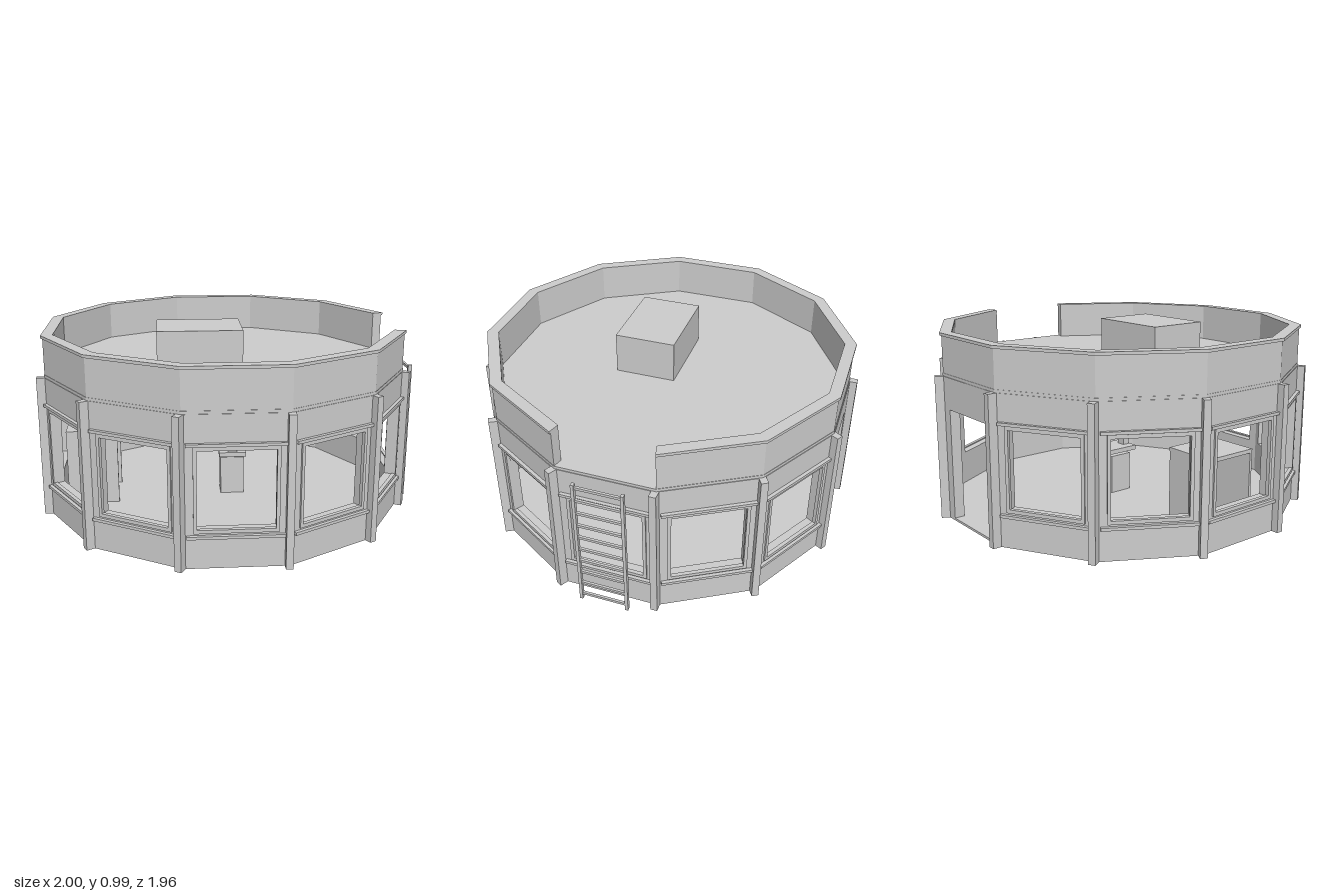
import * as THREE from 'three';

const SIDES = 12, STEP = Math.PI / 6;
const halfSide = (apothem) => apothem * Math.tan(STEP / 2);

export function createModel() {
  const model = new THREE.Group();
  model.name = 'lookoutCabin';
  const grey = new THREE.MeshStandardMaterial({ color: 0xcccccc });
  grey.name = 'pale grey';

  const add = (parent, name, geometry, x = 0, y = 0, z = 0) => {
    const mesh = new THREE.Mesh(geometry, grey);
    mesh.name = name;
    mesh.position.set(x, y, z);
    parent.add(mesh);
    return mesh;
  };
  // Box given by its minimum and maximum on each axis
  const box = (parent, name, x0, x1, y0, y1, z0, z1) =>
    add(parent, name, new THREE.BoxGeometry(x1 - x0, y1 - y0, z1 - z0),
      (x0 + x1) / 2, (y0 + y1) / 2, (z0 + z1) / 2);

  const rect = (type, x0, x1, y0, y1) => new type([
    new THREE.Vector2(x0, y0), new THREE.Vector2(x1, y0),
    new THREE.Vector2(x1, y1), new THREE.Vector2(x0, y1)]);
  const extrude = (shape, depth) => new THREE.ExtrudeGeometry(shape, { depth, bevelEnabled: false });

  // Corners of the twelve-sided plan, starting beside the ladder side
  const corners = (apothem) => Array.from({ length: SIDES }, (_, i) => {
    const a = (i + 0.5) * STEP, r = apothem / Math.cos(STEP / 2);
    return new THREE.Vector2(r * Math.cos(a), r * Math.sin(a));
  });
  const flat = (points, height) => extrude(new THREE.Shape(points), height).rotateX(-Math.PI / 2);

  const cabin = new THREE.Group();
  cabin.name = 'cabin';
  cabin.position.set(-0.022, 0, -0.004);
  model.add(cabin);

  const OUT = 0.94, IN = 0.885;
  add(cabin, 'floor', flat(corners(OUT), 0.012));
  add(cabin, 'roofDeck', flat(corners(0.937), 0.016), 0, 0.754, 0);

  // Parapet and its cap, open on the ladder side
  const openRing = (outer, inner) => [...corners(outer), ...corners(inner).reverse()];
  add(cabin, 'parapet', flat(openRing(0.935, IN), 0.195), 0, 0.767, 0);
  add(cabin, 'parapetCap', flat(openRing(0.944, IN - 0.001), 0.015), 0, 0.96, 0);

  // Twelve walls: a door at the back, windows elsewhere, a post at each right end
  const w = halfSide(OUT);
  for (let k = 0; k < SIDES; k++) {
    const side = new THREE.Group();
    side.name = `wallSide${k + 1}`;
    side.rotation.y = k * STEP;
    cabin.add(side);
    box(side, 'cornerPost', 0.228, 0.264, 0, 0.755, 0.93, 0.978);

    let wall;
    if (k === 6) {
      wall = new THREE.Shape([[-w, 0], [-0.185, 0], [-0.185, 0.59], [0.185, 0.59],
        [0.185, 0], [w, 0], [w, 0.755], [-w, 0.755]].map((p) => new THREE.Vector2(...p)));
    } else {
      wall = rect(THREE.Shape, -w, w, 0, 0.755);
      wall.holes.push(rect(THREE.Path, -0.188, 0.188, 0.192, 0.59));
      const frame = rect(THREE.Shape, -0.2, 0.2, 0.18, 0.602);
      frame.holes.push(rect(THREE.Path, -0.183, 0.183, 0.198, 0.584));
      add(side, 'windowFrame', extrude(frame, 0.02), 0, 0, 0.928);
      box(side, 'windowSill', -0.232, 0.228, 0.155, 0.17, 0.93, 0.958);
      box(side, 'windowLintel', -0.232, 0.228, 0.605, 0.62, 0.93, 0.958);
    }
    add(side, 'wall', extrude(wall, OUT - IN), 0, 0, IN);
  }

  // Box on the roof
  box(model, 'roofBox', -0.38, 0.065, 0.765, 0.99, -0.055, 0.267);

  // Ladder
  const ladder = new THREE.Group();
  ladder.name = 'ladder';
  model.add(ladder);
  for (const s of [-1, 1])
    box(ladder, 'ladderRail', 0.979, 1, 0, 0.757, s * 0.122 - 0.008, s * 0.122 + 0.008);
  for (let i = 0; i < 10; i++) {
    const y = 0.035 + i * 0.078;
    box(ladder, 'ladderRung', 0.983, 0.996, y - 0.007, y + 0.007, -0.12, 0.12);
  }

  // Sighting table in the middle of the room
  const table = new THREE.Group();
  table.name = 'sightingTable';
  model.add(table);
  box(table, 'tableCabinet', -0.04, 0.09, 0.01, 0.225, -0.065, 0.065);
  box(table, 'tableSpindle', 0.015, 0.035, 0.22, 0.245, -0.01, 0.01);
  box(table, 'tableTop', -0.05, 0.1, 0.24, 0.265, -0.1, 0.1);
  for (const s of [-1, 1])
    box(table, 'sight', 0, 0.05, 0.262, 0.32, s * 0.07 - 0.02, s * 0.07 + 0.02);

  // Desk by the left-hand wall
  const desk = new THREE.Group();
  desk.name = 'desk';
  model.add(desk);
  box(desk, 'deskTop', -0.88, -0.605, 0.405, 0.425, -0.15, 0.15);
  for (const s of [-1, 1])
    box(desk, 'deskSide', -0.88, -0.607, 0.01, 0.41, s * 0.142 - 0.007, s * 0.142 + 0.007);

  return model;
}
